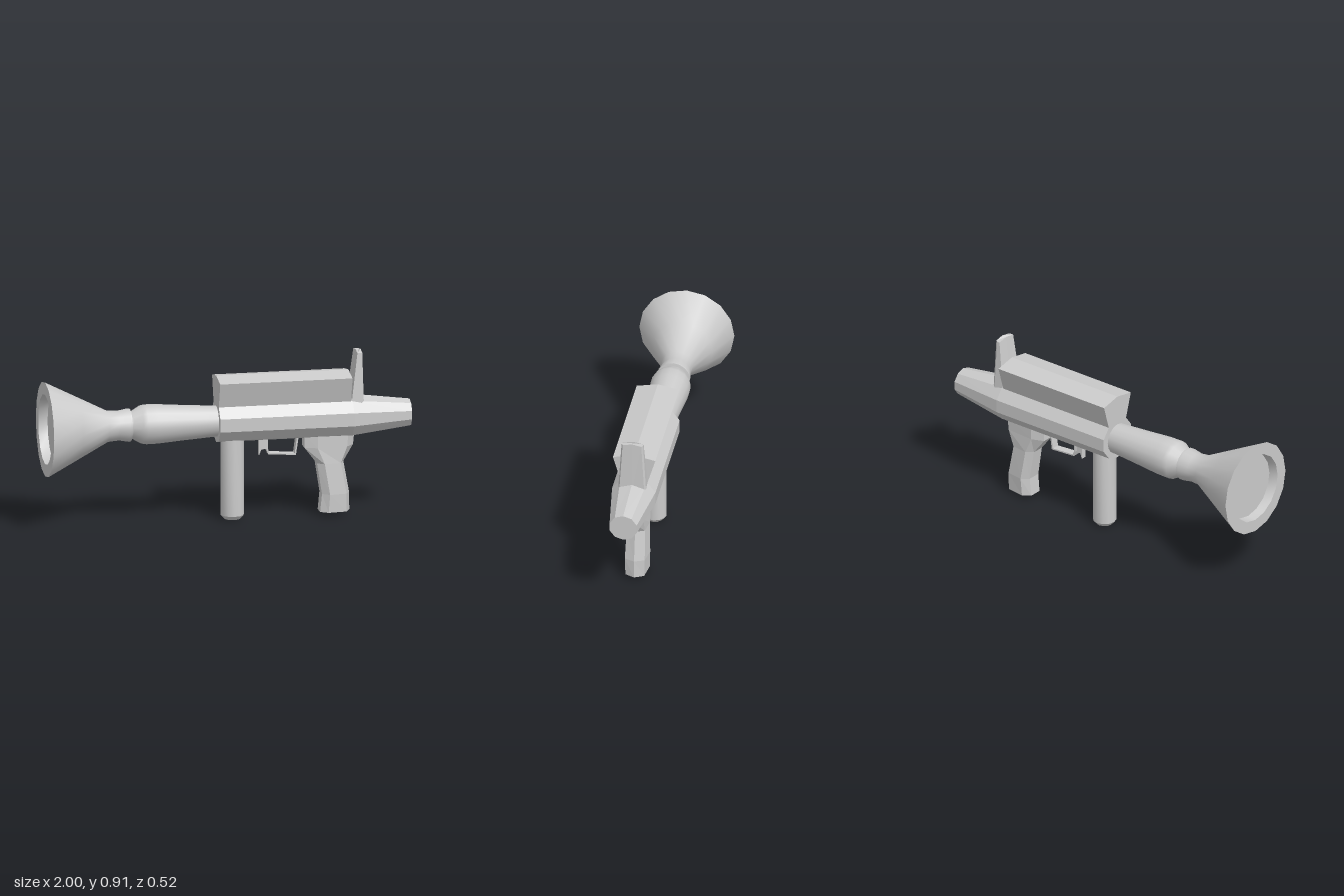
import * as THREE from 'three';
import { toCreasedNormals } from 'three/addons/utils/BufferGeometryUtils.js';

const AXIS_Y = 0.543; // height of the barrel axis
const AXIS_Z = -0.01; // the body sits slightly off centre

const flat = new THREE.MeshStandardMaterial({ color: 0xcccccc, flatShading: true });
const smooth = new THREE.MeshStandardMaterial({ color: 0xcccccc });

// Closed solid through a list of equal-length rings of [x, y, z] points
function loft(rings) {
  const n = rings[0].length;
  const tris = [];
  for (let i = 0; i < rings.length - 1; i++) {
    for (let j = 0; j < n; j++) {
      const k = (j + 1) % n;
      const [a, b, c, d] = [rings[i][j], rings[i][k], rings[i + 1][k], rings[i + 1][j]];
      tris.push([a, b, c], [a, c, d]);
    }
  }
  const last = rings[rings.length - 1];
  for (let j = 1; j < n - 1; j++) {
    tris.push([rings[0][0], rings[0][j + 1], rings[0][j]], [last[0], last[j], last[j + 1]]);
  }
  // Signed volume decides whether the corners must be reversed
  let volume = 0;
  for (const [a, b, c] of tris) {
    volume += a[0] * (b[1] * c[2] - b[2] * c[1]) + a[1] * (b[2] * c[0] - b[0] * c[2]) + a[2] * (b[0] * c[1] - b[1] * c[0]);
  }
  if (volume < 0) tris.forEach((t) => t.reverse());
  const geo = new THREE.BufferGeometry();
  geo.setAttribute('position', new THREE.Float32BufferAttribute(tris.flat(2), 3));
  geo.computeVertexNormals();
  return geo;
}

// Extruded side profile, centred on the body
function plate(points, width) {
  const shape = new THREE.Shape(points.map(([x, y]) => new THREE.Vector2(x, y)));
  const geo = new THREE.ExtrudeGeometry(shape, { depth: width, bevelEnabled: false });
  return geo.translate(0, 0, AXIS_Z - width / 2);
}

export function createModel() {
  const model = new THREE.Group();
  model.name = 'launcher';
  const add = (name, geo, material = flat) => {
    const mesh = new THREE.Mesh(geo, material);
    mesh.name = name;
    model.add(mesh);
    return mesh;
  };

  // Flared exhaust bell, collar and round rear tube, as [x, radius]
  const profile = [
    [-0.95, 0], [-0.95, 0.185], [-1, 0.192], [-1, 0.26], [-0.82, 0.168], [-0.66, 0.086],
    [-0.6, 0.081], [-0.545, 0.091], [-0.533, 0.09], [-0.53, 0.074], [-0.523, 0.076],
    [-0.475, 0.104], [-0.45, 0.109], [-0.39, 0.108], [-0.25, 0.097], [-0.06, 0.084], [0, 0.08],
  ];
  const tube = new THREE.LatheGeometry(profile.map(([x, r]) => new THREE.Vector2(r, x)), 16);
  tube.rotateZ(-Math.PI / 2);
  const p = tube.attributes.position;
  for (let i = 0; i < p.count; i++) {
    // The rim returns to the centre plane
    const k = THREE.MathUtils.clamp((-p.getX(i) - 0.6) / 0.4, 0, 1);
    p.setXYZ(i, p.getX(i), p.getY(i) + AXIS_Y, p.getZ(i) + AXIS_Z * (1 - k));
  }
  add('rearTubeAndBell', toCreasedNormals(tube, 0.65), smooth);

  // Ten-sided body tapering to the muzzle
  const decagon = (x, ry, rz) => Array.from({ length: 10 }, (_, i) => {
    const a = (i / 10) * Math.PI * 2;
    return [x, AXIS_Y + ry * Math.cos(a), AXIS_Z + rz * Math.sin(a)];
  });
  add('body', loft([decagon(-0.06, 0.117, 0.125), decagon(0.675, 0.117, 0.125), decagon(1, 0.075, 0.078)]));

  // Upper housing with a shallow ridge, narrower at its foot
  const housing = (x) => [[0.62, 0.07], [0.773, 0.116], [0.795, 0], [0.773, -0.116], [0.62, -0.07]]
    .map(([y, z]) => [x, y, z + AXIS_Z]);
  add('upperHousing', loft([housing(-0.06), housing(0.665)]));

  // Upright sight: bevelled sides and a slightly peaked top
  const sightRing = (y, peak, x0, x1, w) => [
    [x0, y, w], [x1 - 0.012, y, w], [x1, y, w - 0.008], [x1, y + peak, 0],
    [x1, y, 0.008 - w], [x1 - 0.012, y, -w], [x0, y, -w], [x0, y + peak, 0],
  ].map(([x, yy, z]) => [x, yy, z + AXIS_Z]);
  add('sight', loft([sightRing(0.6, 0, 0.665, 0.737, 0.077), sightRing(0.897, 0.01, 0.703, 0.731, 0.059)]));

  // Cylindrical fore grip with a chamfered foot
  const grip = [[0, 0], [0.045, 0], [0.064, 0.022], [0.064, 0.46]].map(([r, y]) => new THREE.Vector2(r, y));
  const foreGrip = add('foreGrip', toCreasedNormals(new THREE.LatheGeometry(grip, 12), 0.6), smooth);
  foreGrip.position.set(0.028, 0, AXIS_Z);

  // Pistol grip as sections of [y, back x, front x, half width]
  const section = ([y, x0, x1, w]) => [
    [1, 0], [0.85, 0.8], [0.25, 1], [0, 0.55], [0, -0.55], [0.25, -1], [0.85, -0.8],
  ].map(([t, s]) => [x0 + (x1 - x0) * t, y, AXIS_Z + s * w]);
  add('pistolGrip', loft([
    [0.02, 0.503, 0.67, 0.064], [0.12, 0.513, 0.668, 0.068], [0.29, 0.486, 0.637, 0.062],
    [0.38, 0.417, 0.69, 0.06], [0.45, 0.417, 0.697, 0.06],
  ].map(section)));

  // Trigger and its thin strap guard
  add('trigger', plate([[0.172, 0.44], [0.172, 0.345], [0.184, 0.375], [0.22, 0.382], [0.22, 0.44]], 0.03));
  add('triggerGuard', plate([
    [0.21, 0.44], [0.21, 0.38], [0.222, 0.349], [0.373, 0.34], [0.388, 0.44],
    [0.378, 0.44], [0.366, 0.348], [0.229, 0.357], [0.219, 0.382], [0.219, 0.44],
  ], 0.045));

  return model;
}
